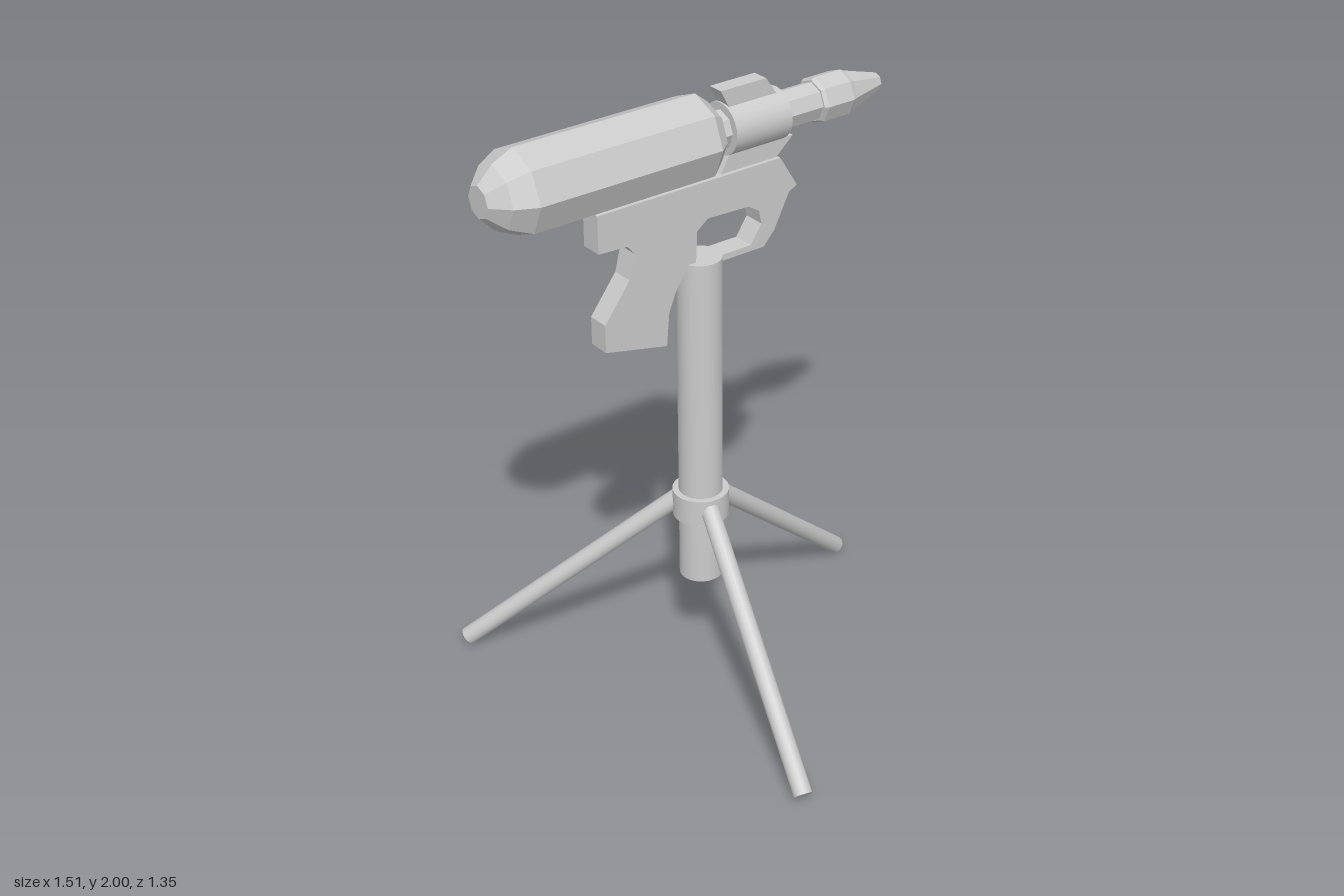
import * as THREE from 'three';

const smooth = new THREE.MeshStandardMaterial({ color: 0xcccccc });
const flat = new THREE.MeshStandardMaterial({ color: 0xcccccc, flatShading: true });

const GUN_Z = -0.1, BARREL_Y = 1.867;
const POLE = new THREE.Vector3(-0.027, 0, -0.09);

export function createModel() {
  const model = new THREE.Group();
  model.name = 'toyGunOnTripod';

  const add = (name, geometry, material) => {
    const mesh = new THREE.Mesh(geometry, material);
    mesh.name = name;
    model.add(mesh);
    return mesh;
  };

  // Part turned around the barrel axis; profile given as [x, radius]
  const turned = (name, profile, sides, material) => {
    const points = profile.map(([x, r]) => new THREE.Vector2(r, x));
    const mesh = add(name, new THREE.LatheGeometry(points, sides), material);
    mesh.rotation.z = -Math.PI / 2;
    mesh.position.set(0, BARREL_Y, GUN_Z);
  };

  // Flat plate cut from an x, y outline and centred on the gun
  const plate = (name, outline, width) => {
    const shape = new THREE.Shape(outline.map(([x, y]) => new THREE.Vector2(x, y)));
    const geometry = new THREE.ExtrudeGeometry(shape, { depth: width, bevelEnabled: false });
    add(name, geometry, flat).position.z = GUN_Z + 0.003 - width / 2;
  };

  // Upright cylinder on the pole axis
  const upright = (name, radius, bottom, top) => {
    const mesh = add(name, new THREE.CylinderGeometry(radius, radius, top - bottom, 24), smooth);
    mesh.position.set(POLE.x, (bottom + top) / 2, POLE.z);
  };

  // Water tank with domed rear and chamfered front
  turned('tank', [[-0.765, 0], [-0.765, 0.05], [-0.715, 0.1], [-0.648, 0.132],
    [-0.03, 0.132], [0.015, 0.095], [0.015, 0]], 8, flat);

  // Barrel, sleeve and nozzle
  turned('barrel', [[0, 0], [0, 0.06], [0.41, 0.06], [0.41, 0]], 8, flat);
  const sleeve = add('sleeve', new THREE.CylinderGeometry(0.081, 0.081, 0.205, 24), smooth);
  sleeve.rotation.z = Math.PI / 2;
  sleeve.position.set(0.163, BARREL_Y, GUN_Z);
  turned('nozzle', [[0.4, 0], [0.4, 0.066], [0.412, 0.073], [0.51, 0.073], [0.525, 0.066],
    [0.655, 0.028], [0.655, 0]], 8, flat);

  // Sight above the sleeve and bracket below it
  plate('sight', [[0.07, 1.94], [0.245, 1.94], [0.205, 1.997], [0.04, 1.997]], 0.053);
  plate('bracket', [[0.04, 1.73], [0.245, 1.73], [0.312, 1.79], [0.075, 1.79]], 0.045);

  // Receiver, trigger guard and grip in one outline
  plate('gripFrame', [
    [-0.405, 1.735], [-0.405, 1.615], [-0.305, 1.61], [-0.28, 1.58], [-0.3, 1.5],
    [-0.39, 1.38], [-0.39, 1.29], [-0.17, 1.24], [-0.16, 1.35], [-0.135, 1.41],
    [-0.09, 1.48], [-0.06, 1.485], [-0.055, 1.585], [-0.015, 1.615], [0.135, 1.61],
    [0.175, 1.585], [0.185, 1.54], [0.145, 1.48], [0, 1.48], [0, 1.46],
    [0.195, 1.46], [0.235, 1.505], [0.29, 1.615], [0.32, 1.63], [0.255, 1.735],
  ], 0.072);

  // Stand
  upright('pole', 0.07, 0.355, 1.485);
  upright('collar', 0.09, 0.58, 0.67);

  // Three splayed legs
  for (let i = 0; i < 3; i++) {
    const angle = 0.28 + (i * Math.PI * 2) / 3;
    const at = (r, y) => new THREE.Vector3(
      POLE.x + r * Math.cos(angle), y, POLE.z - r * Math.sin(angle));
    const top = at(0.06, 0.64), foot = at(0.785, 0.024);
    const along = top.clone().sub(foot);
    const leg = add('leg' + (i + 1), new THREE.CylinderGeometry(0.03, 0.03, along.length(), 16), smooth);
    leg.position.copy(top).add(foot).multiplyScalar(0.5);
    leg.quaternion.setFromUnitVectors(new THREE.Vector3(0, 1, 0), along.normalize());
  }

  return model;
}
